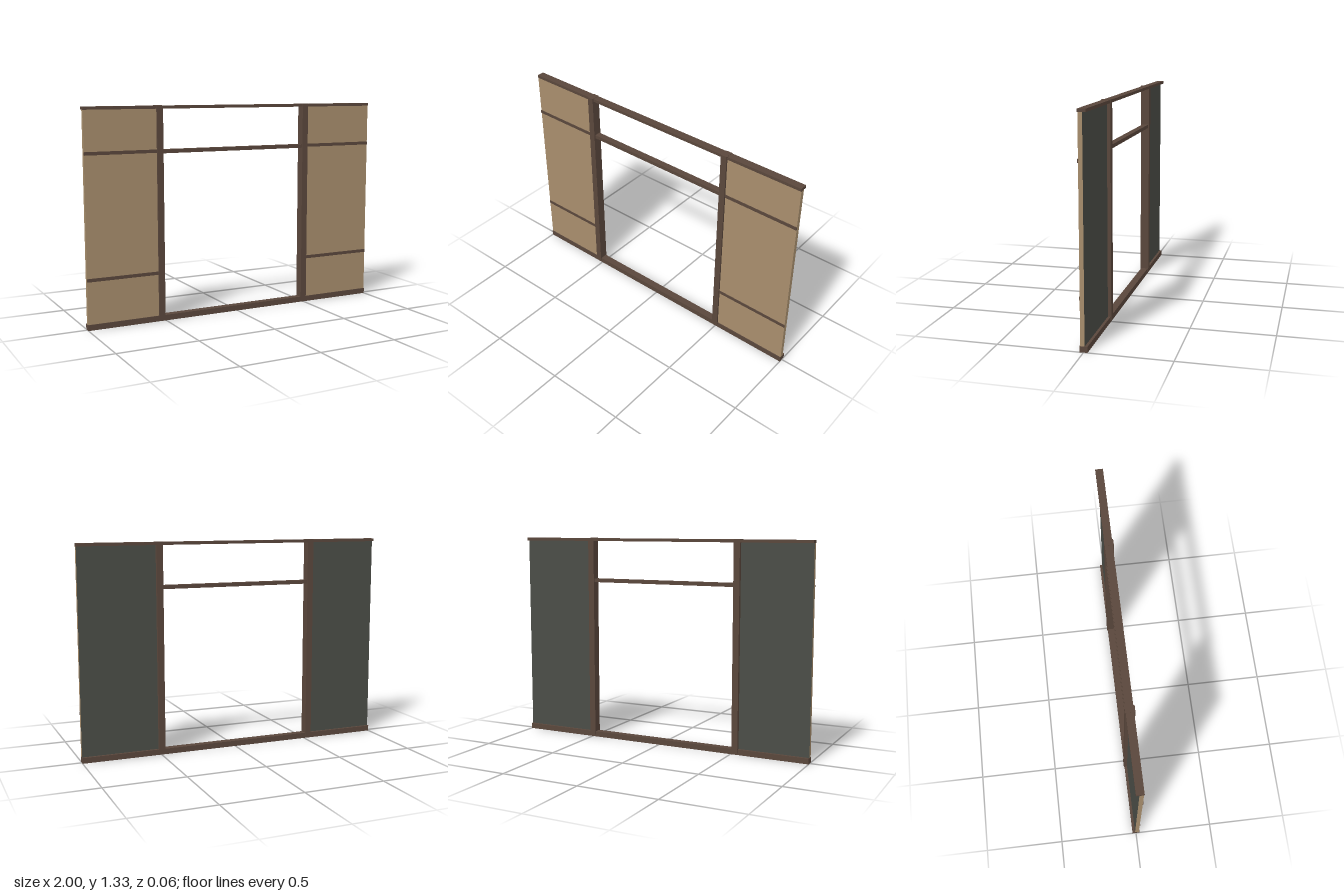
import * as THREE from 'three';

export function createModel() {
  const group = new THREE.Group();
  const mat = (name, color) => {
    const m = new THREE.MeshStandardMaterial({ color });
    m.name = name;
    return m;
  };
  const timber = mat('dark timber', 0x5a473c);
  const plaster = mat('tan plaster', 0xa88e6d);
  const backing = mat('grey backing', 0x4b4d47);

  // Box given by its limits on each axis
  const box = (name, material, [x0, x1], [y0, y1], [z0, z1]) => {
    const geo = new THREE.BoxGeometry(x1 - x0, y1 - y0, z1 - z0);
    const mesh = new THREE.Mesh(geo, material);
    mesh.position.set((x0 + x1) / 2, (y0 + y1) / 2, (z0 + z1) / 2);
    mesh.name = name;
    group.add(mesh);
  };

  // Horizontal beams
  box('sill', timber, [-1, 1], [0, 0.035], [-0.023, 0.023]);
  box('topBeam', timber, [-1, 1], [1.306, 1.324], [-0.026, 0.021]);
  box('transom', timber, [-0.507, 0.477], [1.038, 1.061], [-0.02, 0.02]);

  // Posts on both sides of the opening
  const posts = { right: [-0.547, -0.507], left: [0.476, 0.516] };
  for (const side in posts) box(side + 'Post', timber, posts[side], [0.012, 1.326], [-0.028, 0.028]);

  // Wall panels: tan with a grey back face, and two battens on the front
  const bays = { right: [-1, -0.547], left: [0.516, 1] };
  for (const side in bays) {
    const faces = [plaster, plaster, plaster, plaster, plaster, backing];
    box(side + 'Panel', faces, bays[side], [0.035, 1.306], [-0.007, 0.018]);
    box(side + 'LowerBatten', timber, bays[side], [0.294, 0.314], [0.016, 0.022]);
    box(side + 'UpperBatten', timber, bays[side], [1.043, 1.063], [0.016, 0.022]);
  }
  return group;
}
